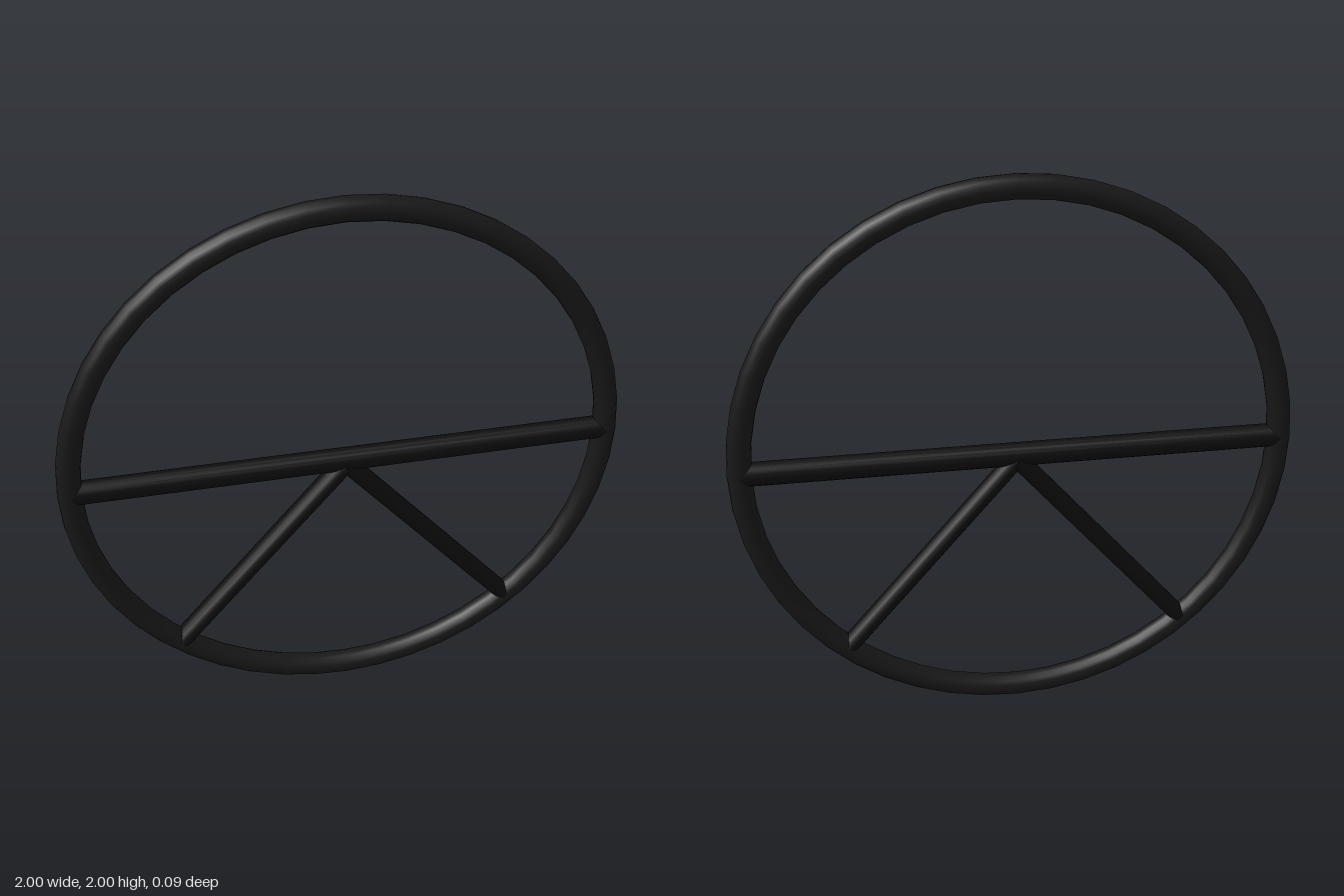
import * as THREE from 'three';

export function createModel() {
  const group = new THREE.Group();
  const rimMaterial = new THREE.MeshStandardMaterial({ color: 0x181818 });
  const barMaterial = new THREE.MeshStandardMaterial({ color: 0x0d0d0d });
  const tube = 0.042;

  // Round rim standing upright
  const rim = new THREE.Mesh(new THREE.TorusGeometry(1 - tube, tube, 16, 48), rimMaterial);
  rim.name = 'rim';
  rim.position.y = 1;
  group.add(rim);

  // Straight bar between two points in the plane of the wheel;
  // width lies in that plane, depth runs along z
  function addBar(name, from, to, width, depth) {
    const a = new THREE.Vector3(from[0], from[1], 0);
    const b = new THREE.Vector3(to[0], to[1], 0);
    const dir = b.clone().sub(a);
    const bar = new THREE.Mesh(new THREE.CylinderGeometry(1, 1, dir.length(), 16), barMaterial);
    bar.name = name;
    bar.scale.set(width / 2, 1, depth / 2);
    bar.position.copy(a).add(b).multiplyScalar(0.5);
    bar.rotation.z = Math.atan2(-dir.x, dir.y);
    group.add(bar);
  }

  // Crossbar through the centre
  addBar('crossbar', [-0.955, 1.005], [0.955, 1.005], 0.084, 0.084);

  // Two slimmer spokes down to the rim
  addBar('leftSpoke', [0, 0.99], [0.62, 0.285], 0.066, 0.084);
  addBar('rightSpoke', [0, 0.99], [-0.62, 0.285], 0.066, 0.09);

  return group;
}
